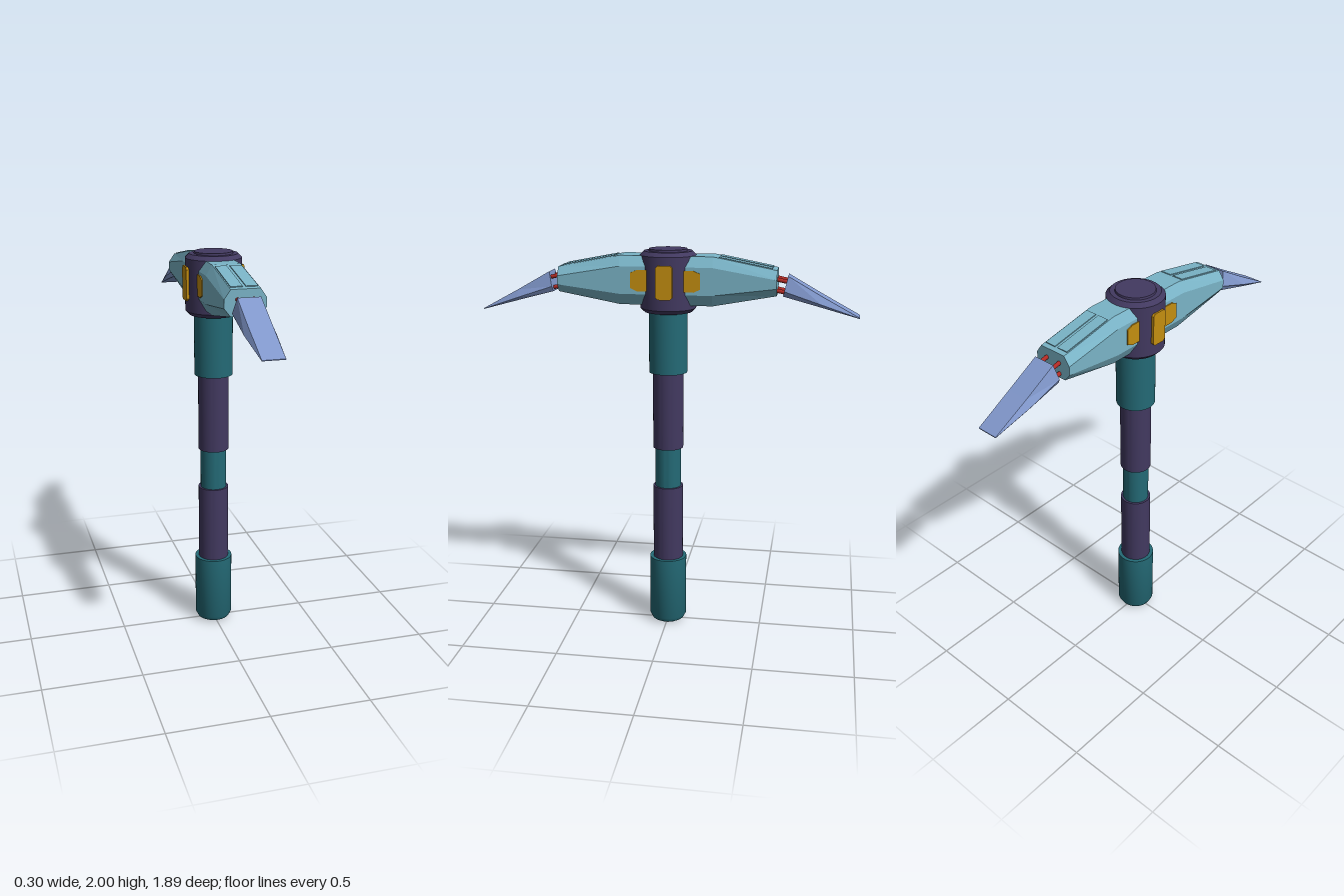
import * as THREE from 'three';
import { toCreasedNormals } from 'three/addons/utils/BufferGeometryUtils.js';

const mat = (name, color) => {
  const m = new THREE.MeshStandardMaterial({ color });
  m.name = name;
  return m;
};

// Flat-faced solid through rings of [x, y, z], counterclockwise seen from +z
function loft(rings) {
  const pos = [];
  const n = rings[0].length;
  const tri = (...pts) => pts.forEach(p => pos.push(...p));
  for (let i = 0; i < rings.length - 1; i++) {
    for (let j = 0; j < n; j++) {
      const k = (j + 1) % n;
      const a = rings[i][j], b = rings[i][k], c = rings[i + 1][k], d = rings[i + 1][j];
      tri(a, b, c);
      tri(a, c, d);
    }
  }
  const first = rings[0], last = rings[rings.length - 1];
  for (let j = 1; j < n - 1; j++) {
    tri(first[0], first[j + 1], first[j]);
    tri(last[0], last[j], last[j + 1]);
  }
  const g = new THREE.BufferGeometry();
  g.setAttribute('position', new THREE.Float32BufferAttribute(pos, 3));
  g.computeVertexNormals();
  return g;
}

// Turned part with crisp edges
function turned(points) {
  const g = new THREE.LatheGeometry(points.map(p => new THREE.Vector2(...p)), 48);
  return toCreasedNormals(g, 0.5);
}

// Plate facing +x with cut corners; outline in z and y
function plate(points, thickness) {
  const s = new THREE.Shape(points.map(([z, y]) => new THREE.Vector2(-z, y)));
  const g = new THREE.ExtrudeGeometry(s, { depth: thickness, bevelEnabled: false });
  return g.rotateY(Math.PI / 2);
}

export function createModel() {
  const teal = mat('dark teal', 0x246a76);
  const purple = mat('dark purple', 0x423960);
  const blue = mat('pale blue', 0x7ab4c7);
  const steel = mat('periwinkle steel', 0x8198cc);
  const amber = mat('amber', 0xc48e10);
  const red = mat('red', 0xb02a24);

  const model = new THREE.Group();
  model.name = 'pickaxe';
  const add = (parent, name, geometry, material) => {
    const m = new THREE.Mesh(geometry, material);
    m.name = name;
    parent.add(m);
    return m;
  };

  // Handle, from the butt upwards
  add(model, 'butt', turned([[0, 0], [0.065, 0], [0.085, 0.012], [0.097, 0.035], [0.097, 0.37], [0, 0.37]]), teal);
  [
    ['lowerGrip', 0.078, 0.37, 0.77, purple],
    ['waist', 0.067, 0.77, 0.98, teal],
    ['upperGrip', 0.078, 0.98, 1.38, purple],
    ['neck', 0.097, 1.38, 1.7, teal],
  ].forEach(([name, r, y0, y1, m]) =>
    add(model, name, turned([[0, y0], [r, y0], [r, y1], [0, y1]]), m));

  // Hub with a raised cap
  add(model, 'hub', turned([
    [0, 1.69], [0.12, 1.69], [0.14, 1.71], [0.14, 1.97], [0.12, 1.99], [0.097, 1.99], [0.095, 2], [0, 2],
  ]), purple);

  // Amber windows on both sides of the hub
  const windowShape = [[0.03, 1.766], [0.041, 1.777], [0.041, 1.92], [0.03, 1.931],
    [-0.03, 1.931], [-0.041, 1.92], [-0.041, 1.777], [-0.03, 1.766]];
  for (const side of [1, -1]) {
    const holder = new THREE.Group();
    holder.name = 'hubWindow';
    holder.rotation.y = side > 0 ? 0 : Math.PI;
    add(holder, 'hubWindowPlate', plate(windowShape, 0.03), amber).position.x = 0.118;
    model.add(holder);
  }

  // Eight-sided arm section
  const octagon = (z, bottom, low, high, top) => [
    [0.1, low, z], [0.1, high, z], [0.07, top, z], [-0.07, top, z],
    [-0.1, high, z], [-0.1, low, z], [-0.07, bottom, z], [0.07, bottom, z],
  ];
  // Six-sided blade section; each level is half width, y, z
  const bladeRing = (top, mid, bottom) => [
    [mid[0], mid[1], mid[2]], [top[0], top[1], top[2]], [-top[0], top[1], top[2]],
    [-mid[0], mid[1], mid[2]], [-bottom[0], bottom[1], bottom[2]], [bottom[0], bottom[1], bottom[2]],
  ];
  const armGeo = loft([
    octagon(0, 1.73, 1.785, 1.92, 1.97),
    octagon(0.23, 1.73, 1.785, 1.92, 1.97),
    octagon(0.542, 1.787, 1.825, 1.867, 1.91),
  ]);
  const bladeGeo = loft([
    bladeRing([0.055, 1.882, 0.594], [0.074, 1.81, 0.578], [0.06, 1.785, 0.572]),
    bladeRing([0.055, 1.788, 0.76], [0.073, 1.75, 0.76], [0.06, 1.735, 0.76]),
    bladeRing([0.053, 1.688, 0.945], [0.054, 1.686, 0.945], [0.053, 1.684, 0.945]),
  ]);
  const sidePlateShape = [[0.09, 1.8], [0.14, 1.8], [0.172, 1.815],
    [0.172, 1.89], [0.14, 1.904], [0.09, 1.904]];

  function createHead(name) {
    const head = new THREE.Group();
    head.name = name;
    add(head, 'arm', armGeo, blue);
    add(head, 'blade', bladeGeo, steel);

    for (const side of [1, -1]) {
      // Long panel on the sloping top
      const panel = add(head, 'topPanel', new THREE.BoxGeometry(0.057, 0.008, 0.265), blue);
      panel.position.set(side * 0.036, 1.94, 0.388);
      panel.rotation.x = Math.atan2(0.06, 0.312);

      // Amber plate on the arm's flank
      add(head, 'sidePlate', plate(sidePlateShape, 0.009), amber).position.x = side > 0 ? 0.097 : -0.106;

      // Red rods joining arm and blade
      for (const y of [1.862, 1.808]) {
        const rod = add(head, 'rod', new THREE.CylinderGeometry(0.01, 0.01, 0.1, 12), red);
        rod.position.set(side * 0.038, y - 0.003, 0.562);
        rod.rotation.x = Math.PI / 2 + 0.2;
      }
    }
    return head;
  }

  const front = createHead('frontHead');
  const back = createHead('backHead');
  back.rotation.y = Math.PI;
  model.add(front, back);
  return model;
}
